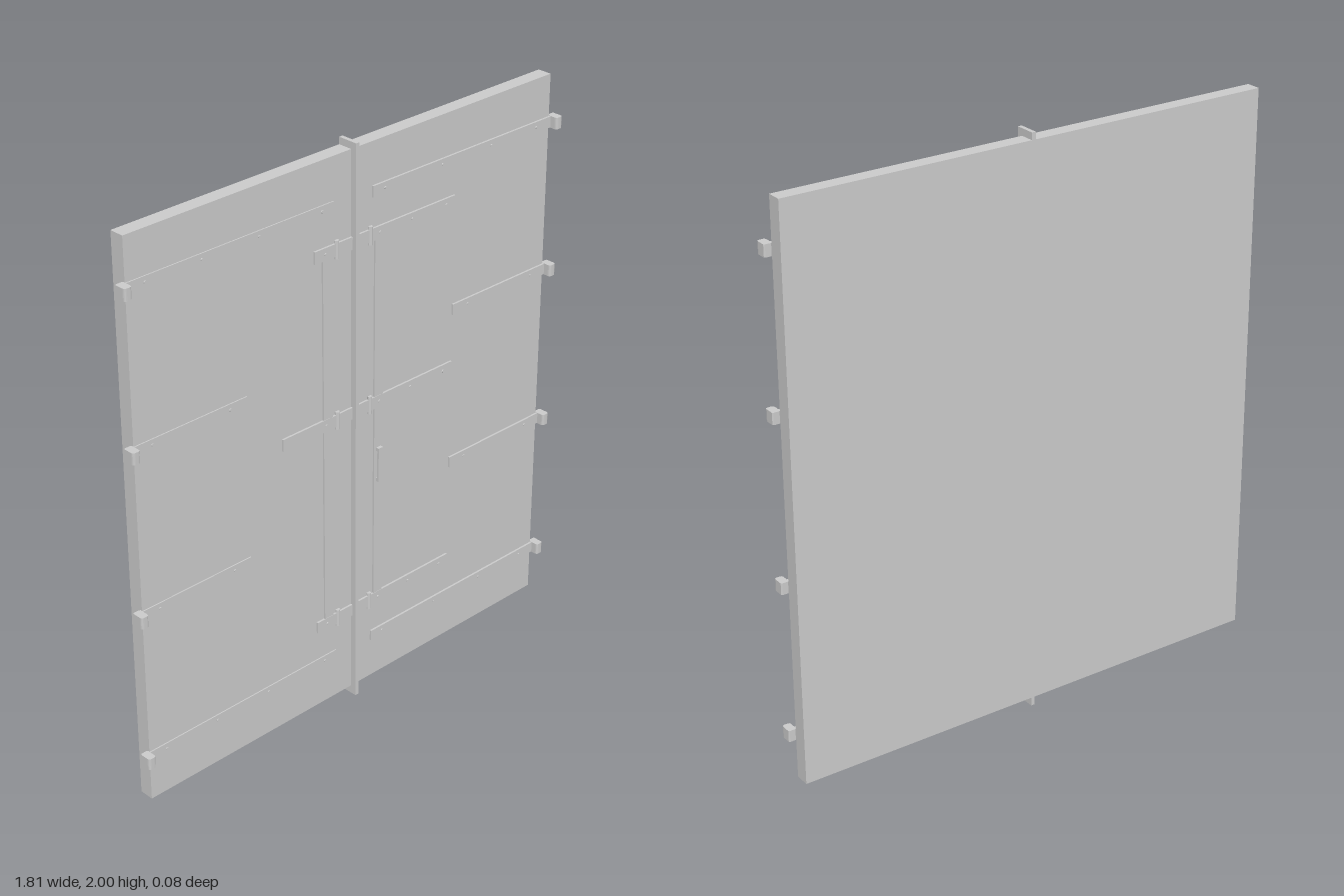
import * as THREE from 'three';

const FACE = 0.009; // front plane of the door leaves
const BACK = -0.042;

export function createModel() {
  const model = new THREE.Group();
  const mat = new THREE.MeshStandardMaterial({ color: 0xcccccc, flatShading: true });

  function add(name, geometry, x = 0, y = 0, z = 0) {
    const mesh = new THREE.Mesh(geometry, mat);
    mesh.name = name;
    mesh.position.set(x, y, z);
    model.add(mesh);
    return mesh;
  }
  // box given by its limits on each axis
  function block(name, x0, x1, y0, y1, z0, z1) {
    return add(name, new THREE.BoxGeometry(Math.abs(x1 - x0), y1 - y0, z1 - z0),
      (x0 + x1) / 2, (y0 + y1) / 2, (z0 + z1) / 2);
  }
  const rivetGeo = new THREE.CylinderGeometry(0.004, 0.005, 0.002, 8).rotateX(Math.PI / 2);
  const rivet = (x, y, z) => add('rivet', rivetGeo, x, y, z + 0.0008);

  // rolled hinge eye: rounded section extruded upwards
  const eyeShape = new THREE.Shape();
  const w = 0.014, r = 0.009;
  eyeShape.moveTo(-w, 0.003);
  eyeShape.lineTo(-w, 0.042 - r);
  eyeShape.quadraticCurveTo(-w, 0.042, -w + r, 0.042);
  eyeShape.lineTo(w - r, 0.042);
  eyeShape.quadraticCurveTo(w, 0.042, w, 0.042 - r);
  eyeShape.lineTo(w, 0.003);
  eyeShape.lineTo(w - 0.004, 0);
  eyeShape.lineTo(-w + 0.004, 0);
  eyeShape.closePath();
  const eyeGeo = new THREE.ExtrudeGeometry(eyeShape, { depth: 0.04, bevelEnabled: false, curveSegments: 4 })
    .rotateX(Math.PI / 2).translate(0, 0.02, 0);

  // two leaves and the meeting bar between them
  block('rightLeaf', -0.878, 0, 0.03, 1.976, BACK, FACE);
  block('leftLeaf', 0, 0.876, 0.03, 1.976, BACK, FACE);
  block('centreBar', -0.007, 0.007, 0, 2, BACK, 0.03);

  // strap hinges, mirrored on both leaves
  const straps = [
    { y: 1.813, end: 0.08, rivets: [0.81, 0.6, 0.38, 0.13] },
    { y: 1.289, end: 0.442, rivets: [0.81, 0.51] },
    { y: 0.72, end: 0.442, rivets: [0.81, 0.51] },
    { y: 0.194, end: 0.08, rivets: [0.81, 0.6, 0.38, 0.13] },
  ];
  for (const side of [-1, 1]) {
    const front = side < 0 ? 0.013 : 0.016;
    for (const s of straps) {
      block('strapHinge', side * s.end, side * 0.885, s.y - 0.019, s.y + 0.019, FACE - 0.002, front);
      add('hingeEye', eyeGeo, side * 0.892, s.y, 0);
      s.rivets.forEach((x) => rivet(side * x, s.y, front));
    }
  }

  // ironwork of the small inner door: three crossbars with hinge knuckles
  const knuckleGeo = new THREE.CylinderGeometry(0.008, 0.008, 0.062, 10);
  const bars = [[1.671, -0.163], [1.082, -0.302], [0.339, -0.163]];
  for (const [y, left] of bars) {
    block('crossbar', left, 0.441, y - 0.021, y + 0.021, FACE - 0.002, 0.016);
    for (const x of [-0.071, 0.071]) add('knuckle', knuckleGeo, x, y, 0.012);
    for (const x of [-0.12, 0.11, 0.25, 0.4]) rivet(x, y, 0.016);
  }
  // uprights between the crossbars
  for (const x of [-0.111, 0.109]) {
    for (const [y0, y1] of [[0.36, 1.061], [1.103, 1.65]]) {
      block('upright', x - 0.019, x + 0.019, y0, y1, FACE - 0.002, 0.015);
    }
  }

  // pull handle: grip on two posts
  block('handleGrip', 0.099, 0.118, 0.79, 0.915, 0.02, 0.027);
  for (const y of [0.79, 0.903]) block('handlePost', 0.099, 0.118, y, y + 0.012, 0.014, 0.021);

  return model;
}
